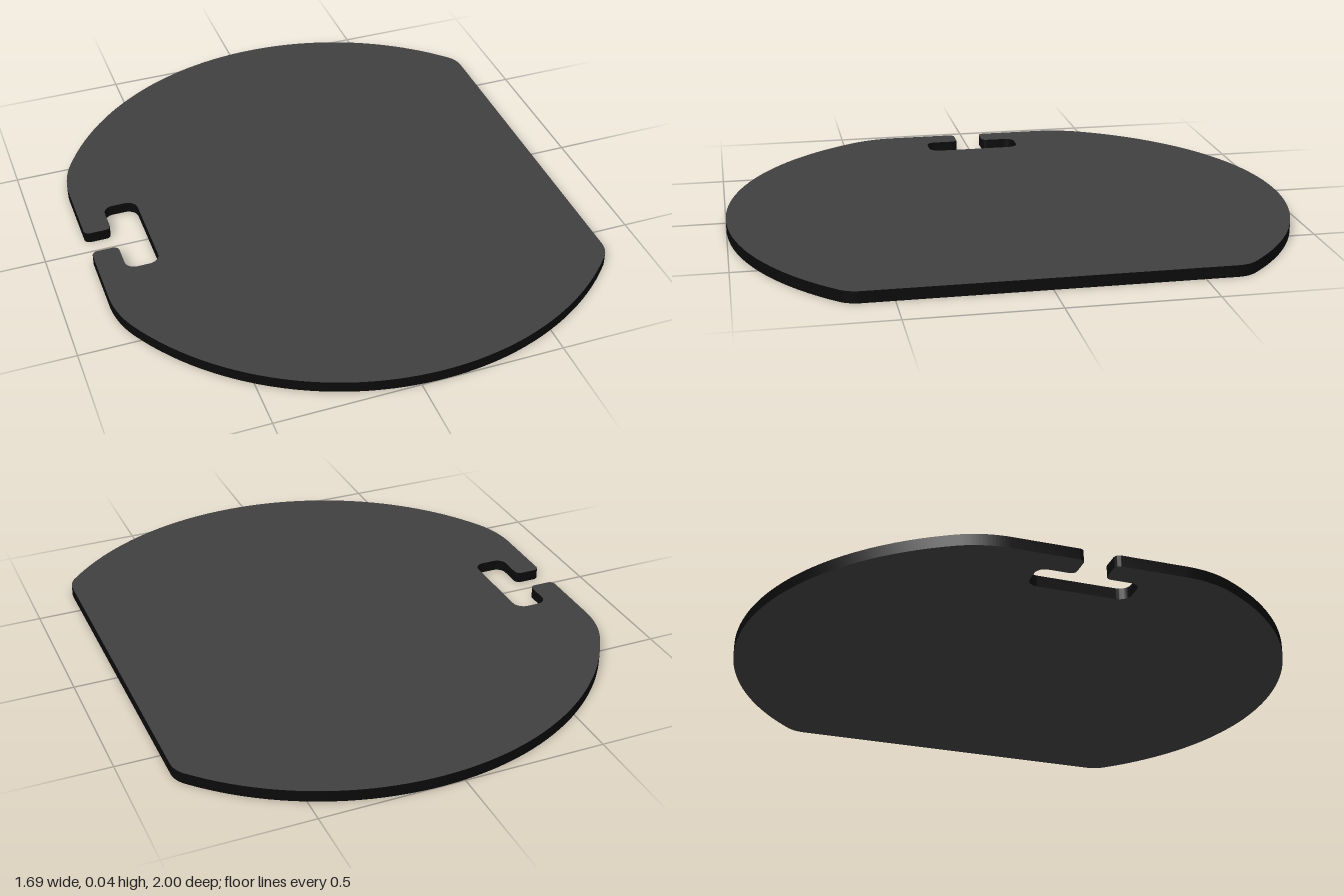
import * as THREE from 'three';
import { toCreasedNormals } from 'three/addons/utils/BufferGeometryUtils.js';

const THICKNESS = 0.04;
const EDGE = 0.845; // flat sides at x = +-EDGE
const CX = 0.08;    // centre of the unit disc

// Draws a polyline with each inner corner [x, y, radius] rounded off.
function roundedPath(shape, pts) {
  const v = pts.map(([x, y]) => new THREE.Vector2(x, y));
  for (let i = 1; i < pts.length - 1; i++) {
    const r = pts[i][2];
    const a = v[i - 1].clone().sub(v[i]).setLength(r).add(v[i]);
    const b = v[i + 1].clone().sub(v[i]).setLength(r).add(v[i]);
    // quarter turn as a cubic curve
    const c1 = a.clone().lerp(v[i], 0.5523);
    const c2 = b.clone().lerp(v[i], 0.5523);
    shape.lineTo(a.x, a.y);
    shape.bezierCurveTo(c1.x, c1.y, c2.x, c2.y, b.x, b.y);
  }
}

// Disc with two flat sides, blended corners and a T-shaped slot.
function plateShape() {
  const rightR = 0.1, leftR = 0.363;
  const rx = EDGE - rightR, lx = -EDGE + leftR;
  const rz = Math.sqrt((1 - rightR) ** 2 - (rx - CX) ** 2);
  const lz = Math.sqrt((1 - leftR) ** 2 - (lx - CX) ** 2);
  const a = Math.atan2(rz, rx - CX), b = Math.atan2(lz, lx - CX);
  const turn = Math.PI * 2;

  const s = new THREE.Shape();
  s.moveTo(EDGE, -rz);
  s.absarc(rx, rz, rightR, 0, a);
  s.absarc(CX, 0, 1, a, b);
  s.absarc(lx, lz, leftR, b, Math.PI);

  // slot: narrow mouth opening into a wider pocket
  const half = [
    [-EDGE, lz, 0],
    [-EDGE, 0.052, 0.02],
    [-0.75, 0.052, 0.02],
    [-0.75, 0.178, 0.035],
    [-0.63, 0.178, 0.04],
  ];
  roundedPath(s, [...half, ...half.map(([x, y, r]) => [x, -y, r]).reverse()]);

  s.absarc(lx, -lz, leftR, Math.PI, turn - b);
  s.absarc(CX, 0, 1, turn - b, turn - a);
  s.absarc(rx, -rz, rightR, turn - a, turn);
  return s;
}

export function createModel() {
  const face = new THREE.MeshStandardMaterial({ color: 0x3f3f3f });
  face.name = 'charcoal face';
  const rim = new THREE.MeshStandardMaterial({ color: 0x0a0a0a });
  rim.name = 'black rim';

  let geo = new THREE.ExtrudeGeometry(plateShape(), {
    depth: THICKNESS, bevelEnabled: false, curveSegments: 24,
  });
  geo.rotateX(-Math.PI / 2);
  geo = toCreasedNormals(geo, 0.6);

  const plate = new THREE.Mesh(geo, [face, rim]);
  plate.name = 'slottedPlate';

  const group = new THREE.Group();
  group.name = 'plate';
  group.add(plate);
  return group;
}
